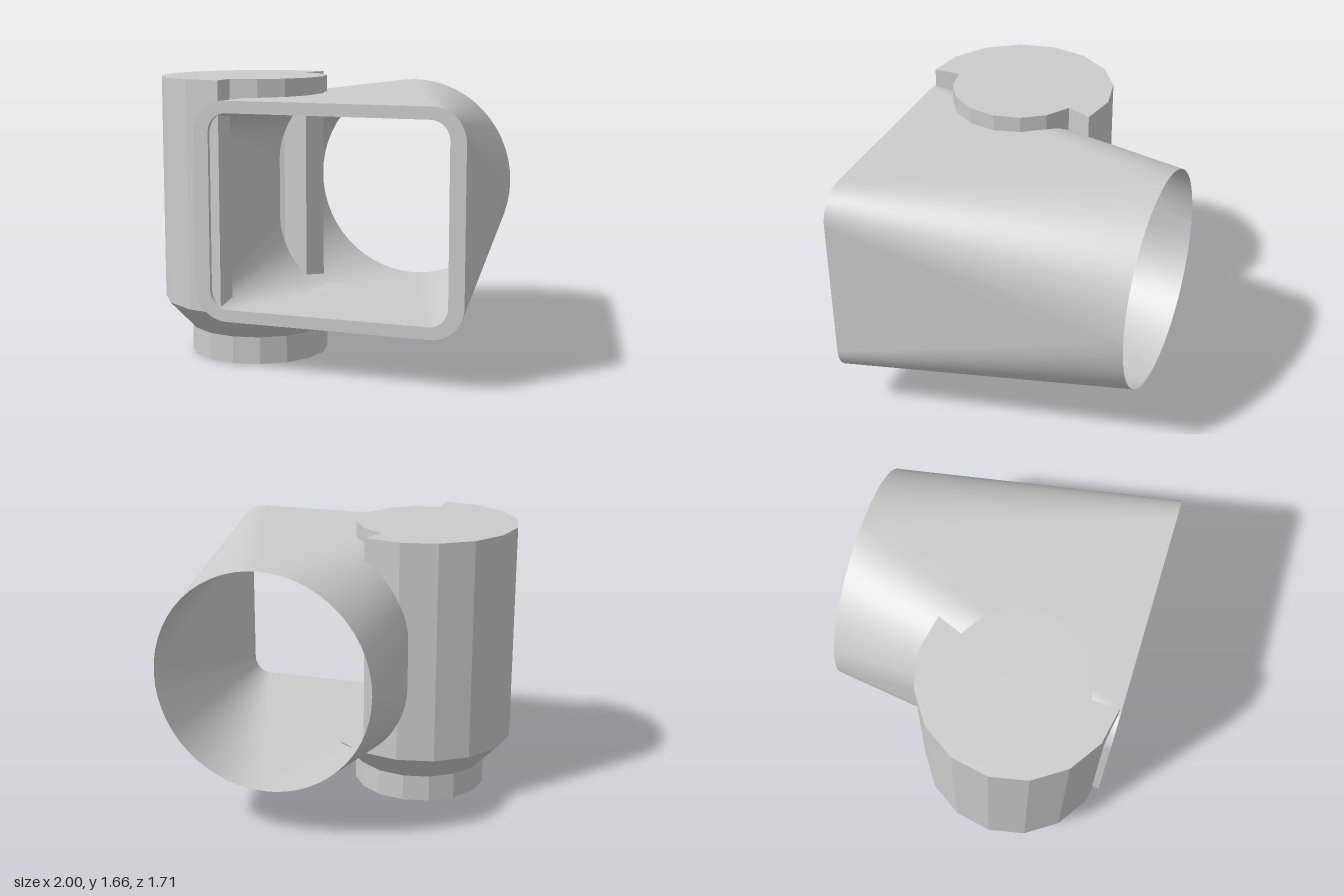
import * as THREE from 'three';

const flat = new THREE.MeshStandardMaterial({ color: 0xcccccc, flatShading: true, side: THREE.DoubleSide });
const smooth = new THREE.MeshStandardMaterial({ color: 0xcccccc, side: THREE.DoubleSide });

// Axis and radii of the upright housing
const AX = -0.43, AZ = 0.275, R_OUT = 0.57, R_IN = 0.41, SIDES = 16;
// Axis and ends of the horizontal duct
const CX = 0.21, FRONT = 0.857, BACK = -0.857;

function add(group, name, geometry, material) {
  const mesh = new THREE.Mesh(geometry, material);
  mesh.name = name;
  group.add(mesh);
  return mesh;
}

// Section points, corner by corner; with zero half sizes it is a circle
function section(cx, cy, halfW, halfH, r, z, steps = 14) {
  const pts = [];
  [[1, 1], [-1, 1], [-1, -1], [1, -1]].forEach(([sx, sy], corner) => {
    for (let i = 0; i <= steps; i++) {
      const a = (corner + i / steps) * Math.PI / 2;
      pts.push([cx + sx * halfW + r * Math.cos(a), cy + sy * halfH + r * Math.sin(a), z]);
    }
  });
  return pts;
}

// Closed skin between two matching sections
function loft(a, b, rows = 1) {
  const n = a.length, position = [], index = [];
  for (let k = 0; k <= rows; k++) {
    for (let i = 0; i < n; i++) {
      position.push(...a[i].map((v, c) => v + (b[i][c] - v) * k / rows));
    }
  }
  for (let k = 0; k < rows; k++) {
    for (let i = 0; i < n; i++) {
      const j = (i + 1) % n, p = k * n, q = p + n;
      index.push(p + i, q + i, q + j, p + i, q + j, p + j);
    }
  }
  const g = new THREE.BufferGeometry();
  g.setAttribute('position', new THREE.Float32BufferAttribute(position, 3));
  g.setIndex(index);
  g.computeVertexNormals();
  return g;
}

// Duct: rounded rectangular mouth blending to a knife-edged round outlet
function buildDuct() {
  const duct = new THREE.Group();
  duct.name = 'duct';
  const outer = section(CX, 0.92, 0.60, 0.44, 0.19, FRONT);
  const inner = section(CX, 0.92, 0.59, 0.45, 0.11, FRONT);
  const outlet = section(CX, 0.935, 0, 0, 0.65, BACK);
  add(duct, 'ductOuterSkin', loft(outlet, outer, 8), smooth);
  add(duct, 'ductInnerSkin', loft(inner, outlet, 8), smooth);
  add(duct, 'mouthRim', loft(outer, inner), flat);
  return duct;
}

// Upright housing: partial ring wall, top plug, funnel and foot
function buildHousing() {
  const housing = new THREE.Group();
  housing.name = 'housing';

  const step = Math.PI * 2 / SIDES, pts = [];
  const arcPoint = (r, i) => new THREE.Vector2(AX + r * Math.cos(i * step), -AZ + r * Math.sin(i * step));
  for (let i = 3; i <= 12; i++) pts.push(arcPoint(R_OUT, i));
  for (let i = 12; i >= 3; i--) pts.push(arcPoint(R_IN, i));
  const wall = new THREE.ExtrudeGeometry(new THREE.Shape(pts), { depth: 1.33, bevelEnabled: false });
  wall.rotateX(-Math.PI / 2);
  add(housing, 'housingWall', wall, flat).position.y = 0.33;

  const drum = (name, top, bottom, y0, y1) => {
    const g = new THREE.CylinderGeometry(top, bottom, y1 - y0, SIDES);
    add(housing, name, g, flat).position.set(AX, (y0 + y1) / 2, AZ);
  };
  drum('topPlug', R_IN, R_IN, 1.5, 1.66);
  drum('funnel', R_OUT, R_IN, 0.16, 0.33);
  drum('foot', R_IN, R_IN, 0, 0.16);
  return housing;
}

export function createModel() {
  const model = new THREE.Group();
  model.name = 'ductWithHousing';
  model.add(buildDuct(), buildHousing());
  return model;
}
